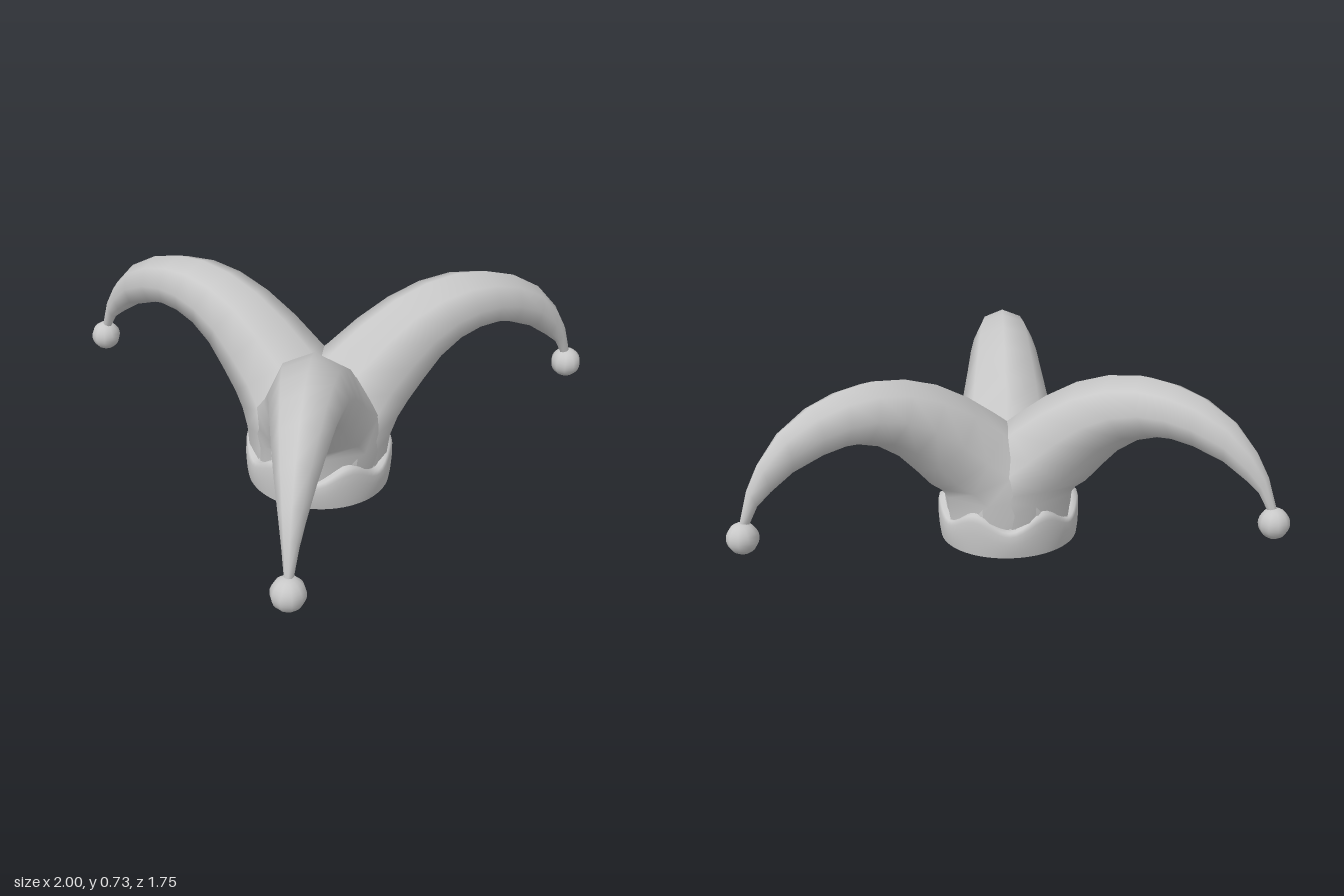
import * as THREE from 'three';

const cloth = new THREE.MeshStandardMaterial({ color: 0xc8c8c8, side: THREE.DoubleSide });
cloth.name = 'light grey cloth';

// Skin a list of closed rings; at(row, angle) returns a point [x, y, z]
function loft(rows, sides, at) {
  const pos = [], index = [];
  for (let i = 0; i < rows.length; i++) {
    for (let j = 0; j < sides; j++) {
      pos.push(...at(rows[i], (j / sides) * Math.PI * 2));
      if (i === rows.length - 1) continue;
      const a = i * sides + j, b = i * sides + ((j + 1) % sides);
      index.push(a, a + sides, b, b, a + sides, b + sides);
    }
  }
  const geo = new THREE.BufferGeometry();
  geo.setAttribute('position', new THREE.Float32BufferAttribute(pos, 3));
  geo.setIndex(index);
  geo.computeVertexNormals();
  return geo;
}

function part(name, geo) {
  const mesh = new THREE.Mesh(geo, cloth);
  mesh.name = name;
  return mesh;
}

// Horn cross-sections: top edge (reach, y), bottom edge (reach, y), half width
const hornRows = [
  [-0.26, 0.08, 0.26, 0.08, 0.26],
  [-0.18, 0.27, 0.266, 0.2, 0.26],
  [-0.06, 0.41, 0.295, 0.24, 0.225],
  [0.05, 0.5, 0.34, 0.275, 0.187],
  [0.17, 0.59, 0.4, 0.345, 0.17],
  [0.3, 0.665, 0.47, 0.42, 0.15],
  [0.43, 0.71, 0.55, 0.475, 0.136],
  [0.56, 0.727, 0.63, 0.5, 0.122],
  [0.68, 0.715, 0.71, 0.503, 0.106],
  [0.8, 0.68, 0.79, 0.487, 0.09],
  [0.92, 0.61, 0.9, 0.445, 0.066],
  [1.01, 0.51, 0.98, 0.39, 0.043],
  [1.06, 0.42, 1.03, 0.35, 0.028],
  [1.095, 0.31, 1.06, 0.295, 0.016],
  [1.1, 0.27, 1.075, 0.265, 0.012],
];

export function createModel() {
  const hat = new THREE.Group();
  hat.name = 'threePointedHat';
  hat.position.z = 0.27;

  // Three drooping horns, each ending in a bell
  const hornGeo = loft(hornRows, 8, ([tr, ty, br, by, w], a) => [
    Math.sin(a) * w,
    (ty + by) / 2 + (Math.cos(a) * (ty - by)) / 2,
    (tr + br) / 2 + (Math.cos(a) * (tr - br)) / 2,
  ]);
  const bellGeo = new THREE.SphereGeometry(0.058, 10, 14);
  [['left', Math.PI / 3], ['right', -Math.PI / 3], ['back', Math.PI]].forEach(([side, turn]) => {
    const arm = new THREE.Group();
    arm.name = side + 'Arm';
    arm.rotation.y = turn;
    const bell = part(side + 'Bell', bellGeo);
    bell.position.set(0, 0.247, 1.09);
    arm.add(part(side + 'Horn', hornGeo), bell);
    hat.add(arm);
  });

  // Brim with six waves along its top edge; rows are [radius, share of height]
  const brimPoint = ([r, k], a) => {
    const height = 0.14 - 0.031 * Math.cos(6 * a);
    return [-Math.sin(a) * r, k * height, Math.cos(a) * r];
  };
  const outer = [[0.268, 0], [0.274, 0.25], [0.277, 0.55], [0.276, 0.82], [0.27, 0.96], [0.25, 1]];
  const inner = [[0.25, 1], [0.252, 0.5], [0.256, 0], [0.268, 0]];
  hat.add(part('brim', loft(outer, 72, brimPoint)));
  hat.add(part('brimLining', loft(inner, 72, brimPoint)));

  const model = new THREE.Group();
  model.name = 'hat';
  model.add(hat);
  return model;
}
